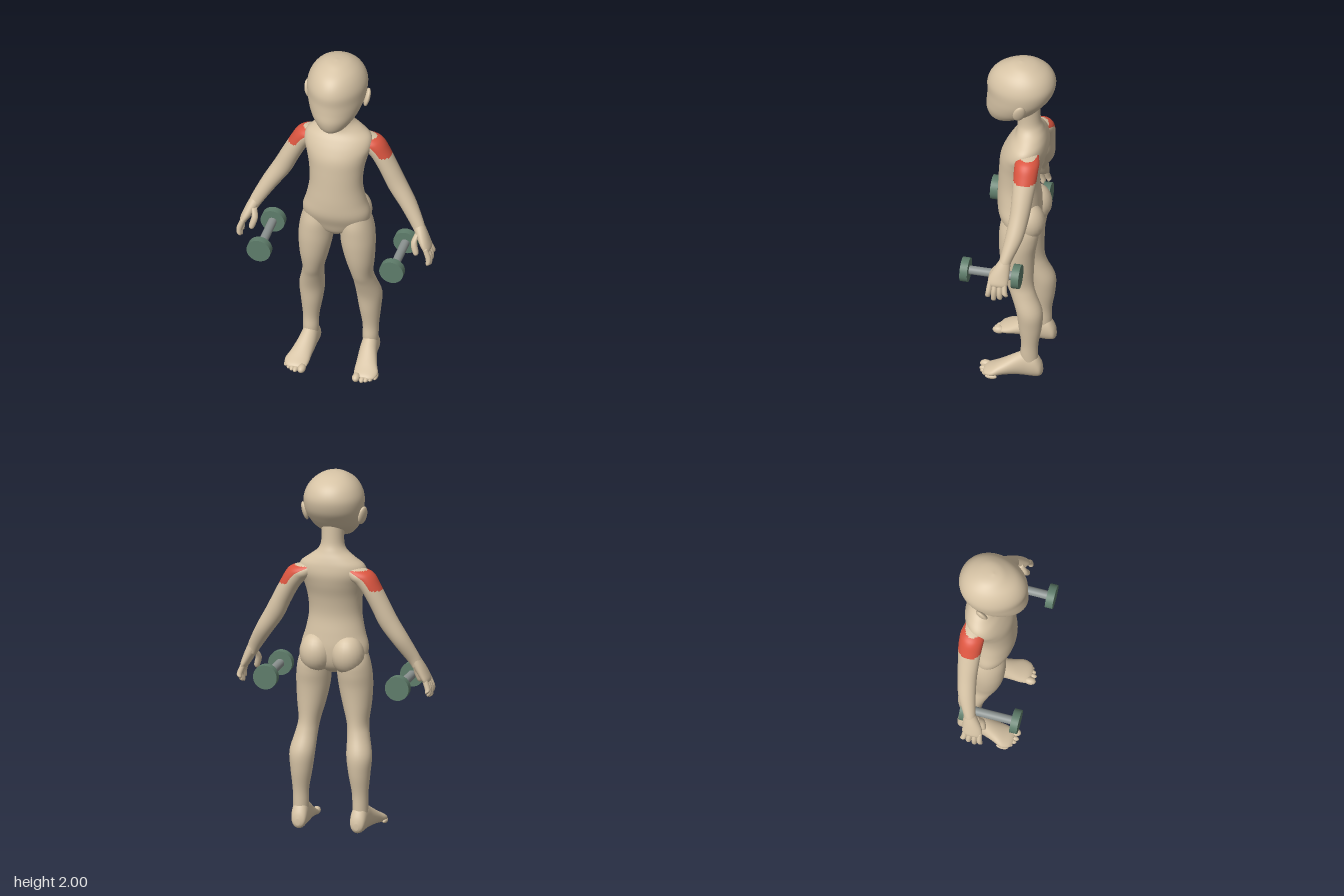
import * as THREE from 'three';

const mat = (name, color) => {
  const m = new THREE.MeshStandardMaterial({ color });
  m.name = name;
  return m;
};

// Catmull-Rom interpolation of whole cross-section rows
function refine(rows, steps) {
  const out = [];
  for (let i = 0; i < rows.length - 1; i++) {
    const p0 = rows[Math.max(i - 1, 0)], p1 = rows[i], p2 = rows[i + 1], p3 = rows[Math.min(i + 2, rows.length - 1)];
    for (let s = 0; s < steps; s++) {
      const t = s / steps;
      out.push(p1.map((b, k) => {
        const a = p0[k], c = p2[k], d = p3[k];
        return b + 0.5 * t * (c - a + t * (2 * a - 5 * b + 4 * c - d + t * (3 * (b - c) + d - a)));
      }));
    }
  }
  out.push(rows[rows.length - 1]);
  return out;
}

// Smooth closed body through ellipses; row = [x, y, z, halfU, halfV]
function loft(rows, { u = [1, 0, 0], v = [0, 0, 1], side = 1, steps = 5, n = 32, egg = 0, pick = null } = {}) {
  const rings = refine(rows, steps), pos = [], plain = [], picked = [];
  for (const [x, y, z, a, b] of rings) {
    for (let j = 0; j < n; j++) {
      const t = (j / n) * Math.PI * 2, s = Math.sin(t);
      const p = a * Math.cos(t) * (1 - egg * s), q = b * s;
      pos.push(side * (x + u[0] * p + v[0] * q), y + u[1] * p + v[1] * q, z + u[2] * p + v[2] * q);
    }
  }
  for (let i = 0; i < rings.length - 1; i++) {
    for (let j = 0; j < n; j++) {
      const k = (j + 1) % n, a = i * n + j, b = i * n + k, c = a + n, d = b + n;
      const y = (pos[a * 3 + 1] + pos[b * 3 + 1] + pos[c * 3 + 1] + pos[d * 3 + 1]) / 4;
      const list = pick && pick(y, Math.cos(((j + 0.5) / n) * Math.PI * 2)) ? picked : plain;
      list.push(a, b, c, b, d, c);
    }
  }
  // end caps
  const last = rings.length - 1, base = pos.length / 3;
  for (const r of [0, last]) pos.push(side * rings[r][0], rings[r][1], rings[r][2]);
  for (let j = 0; j < n; j++) {
    const k = (j + 1) % n;
    plain.push(base, k, j, base + 1, last * n + j, last * n + k);
  }
  // turn all faces outward
  const index = plain.concat(picked), P = (i) => new THREE.Vector3().fromArray(pos, i * 3);
  let volume = 0;
  for (let i = 0; i < index.length; i += 3) volume += P(index[i]).dot(P(index[i + 1]).cross(P(index[i + 2])));
  if (volume < 0) for (let i = 0; i < index.length; i += 3) [index[i], index[i + 1]] = [index[i + 1], index[i]];
  const g = new THREE.BufferGeometry();
  g.setAttribute('position', new THREE.Float32BufferAttribute(pos, 3));
  g.setIndex(index);
  g.computeVertexNormals();
  if (pick) {
    g.addGroup(0, plain.length, 0);
    g.addGroup(plain.length, picked.length, 1);
  }
  return g;
}

// [y, halfWidth, front, back, x] to a loft row
const level = ([y, w, f, b, x = 0]) => [x, y, (f + b) / 2, w, (f - b) / 2];

export function createModel() {
  const model = new THREE.Group();
  model.name = 'mannequinWithDumbbells';
  const skin = mat('mannequin beige', 0xd6c3a5), red = mat('band red', 0xdb5540);
  const green = mat('weight green', 0x5f7d6b), steel = mat('bar grey', 0x8c9391);

  const add = (name, geometry, material = skin, parent = model) => {
    const m = new THREE.Mesh(geometry, material);
    m.name = name;
    parent.add(m);
    return m;
  };
  const ball = (name, parent, p, r) => {
    const m = add(name, new THREE.SphereGeometry(1, 24, 16), skin, parent);
    m.position.set(...p);
    m.scale.set(...r);
    return m;
  };

  // torso with neck
  add('torso', loft([
    [0.87, 0.04, 0.02, -0.06], [0.9, 0.12, 0.045, -0.11], [0.95, 0.175, 0.065, -0.135],
    [1.02, 0.187, 0.092, -0.142], [1.1, 0.165, 0.098, -0.135], [1.2, 0.147, 0.095, -0.125],
    [1.3, 0.152, 0.09, -0.14], [1.38, 0.17, 0.082, -0.165], [1.44, 0.188, 0.058, -0.178],
    [1.49, 0.178, 0.028, -0.175], [1.53, 0.13, 0, -0.165], [1.57, 0.08, -0.008, -0.15],
    [1.62, 0.062, -0.008, -0.135], [1.73, 0.064, 0.005, -0.13],
  ].map(level), { n: 48 }));

  // featureless head
  add('head', loft([
    [1.612, 0.03, 0.125, 0.06], [1.63, 0.07, 0.143, 0], [1.66, 0.1, 0.157, -0.06],
    [1.7, 0.128, 0.164, -0.12], [1.75, 0.149, 0.16, -0.165], [1.8, 0.16, 0.157, -0.2],
    [1.86, 0.162, 0.158, -0.217], [1.91, 0.146, 0.14, -0.206], [1.95, 0.118, 0.105, -0.175],
    [1.98, 0.08, 0.05, -0.125], [1.994, 0.045, 0.015, -0.08], [2, 0.004, -0.025, -0.033],
  ].map(level), { n: 48, egg: 0.1 }));

  for (const side of [1, -1]) {
    const half = new THREE.Group();
    half.name = side > 0 ? 'leftSide' : 'rightSide';
    model.add(half);
    const X = (x) => side * x;

    // ear
    const ear = ball('ear', half, [X(0.163), 1.765, -0.052], [0.016, 0.054, 0.034]);
    ear.rotation.set(-0.15, X(0.4), X(-0.2));

    // hip and leg
    ball('hip', half, [X(0.088), 0.985, -0.085], [0.092, 0.11, 0.092]);
    add('leg', loft([
      [1.02, 0.07, 0.05, -0.1, 0.1], [0.95, 0.088, 0.066, -0.145, 0.107], [0.88, 0.095, 0.068, -0.145, 0.114],
      [0.8, 0.093, 0.065, -0.132, 0.12], [0.7, 0.079, 0.052, -0.126, 0.128], [0.6, 0.06, 0.026, -0.126, 0.136],
      [0.53, 0.061, -0.003, -0.142, 0.146], [0.43, 0.07, -0.036, -0.18, 0.16], [0.33, 0.06, -0.05, -0.178, 0.163],
      [0.22, 0.045, -0.065, -0.16, 0.167], [0.14, 0.043, -0.06, -0.158, 0.167], [0.05, 0.04, -0.07, -0.16, 0.167],
    ].map(level), { side }), skin, half);

    // foot: [x, z, bottom, top, halfWidth]
    add('foot', loft([
      [0.165, -0.184, 0.025, 0.06, 0.012], [0.165, -0.172, 0.008, 0.1, 0.036], [0.166, -0.14, 0, 0.15, 0.045],
      [0.168, -0.09, 0, 0.16, 0.046], [0.172, -0.04, 0.002, 0.135, 0.05], [0.184, 0.03, 0.003, 0.092, 0.058],
      [0.194, 0.08, 0, 0.063, 0.066], [0.192, 0.12, 0.003, 0.042, 0.056], [0.188, 0.135, 0.012, 0.03, 0.035],
    ].map(([x, z, lo, hi, w]) => [x, (lo + hi) / 2, z, w, (hi - lo) / 2]), { side, v: [0, 1, 0] }), skin, half);
    for (let i = 0; i < 5; i++) {
      const r = i === 0 ? 0.022 : 0.016 - i * 0.0007;
      ball('toe', half, [X(0.153 + (i ? 0.012 : 0) + i * 0.021), r, 0.133 - i * i * 0.003], [r, r, 0.033]);
    }

    // arm with an outer band
    add('arm', loft([
      [0.11, 1.47, -0.1, 0.04, 0.05], [0.16, 1.445, -0.1, 0.058, 0.066], [0.195, 1.42, -0.1, 0.058, 0.067],
      [0.23, 1.37, -0.1, 0.053, 0.064], [0.275, 1.285, -0.096, 0.052, 0.058], [0.322, 1.19, -0.09, 0.053, 0.053],
      [0.388, 1.085, -0.074, 0.046, 0.048], [0.45, 0.98, -0.043, 0.036, 0.034], [0.468, 0.94, -0.033, 0.03, 0.036],
    ], { side, u: [0.87, 0.48, 0], n: 48, steps: 10, pick: (y, c) => c > 0.15 && y > 1.372 && y < 1.475 }),
    [skin, red], half);

    // hand
    const hand = new THREE.Group();
    hand.name = 'hand';
    half.add(hand);
    add('palm', loft([
      [0.452, 0.985, -0.042, 0.03, 0.03], [0.474, 0.94, -0.028, 0.03, 0.044], [0.496, 0.895, -0.016, 0.027, 0.054],
      [0.514, 0.86, -0.012, 0.021, 0.054], [0.52, 0.843, -0.012, 0.01, 0.042],
    ], { side, u: [0.93, 0.36, 0] }), skin, hand);
    const digit = (name, points, r) => add(name, loft(
      points.map((p, i) => [...p, r * [0.9, 1, 0.9, 0.35][i], r * [0.9, 1, 0.9, 0.35][i]]),
      { side, n: 14, u: [0.95, 0.3, 0] }), skin, hand);
    for (const [z, spread, tip] of [[0.028, 0.01, 0.775], [0.002, 0.004, 0.758], [-0.024, -0.004, 0.768], [-0.048, -0.012, 0.79]]) {
      digit('finger', [
        [0.508, 0.875, z], [0.529, 0.82, z + spread * 0.5], [0.53, tip + 0.012, z + spread], [0.526, tip, z + spread],
      ], 0.0155);
    }
    digit('thumb', [[0.458, 0.945, -0.005], [0.446, 0.9, 0.022], [0.46, 0.845, 0.036], [0.464, 0.83, 0.037]], 0.018);

    // dumbbell
    const dumbbell = new THREE.Group();
    dumbbell.name = 'dumbbell';
    dumbbell.position.set(X(0.372), 0.82, 0.054);
    dumbbell.rotation.x = Math.PI / 2;
    half.add(dumbbell);
    add('bar', new THREE.CylinderGeometry(0.024, 0.024, 0.27, 32), steel, dumbbell);
    for (const end of [1, -1]) {
      add('weight', new THREE.CylinderGeometry(0.067, 0.067, 0.042, 40), green, dumbbell).position.y = end * 0.142;
    }
  }
  return model;
}
